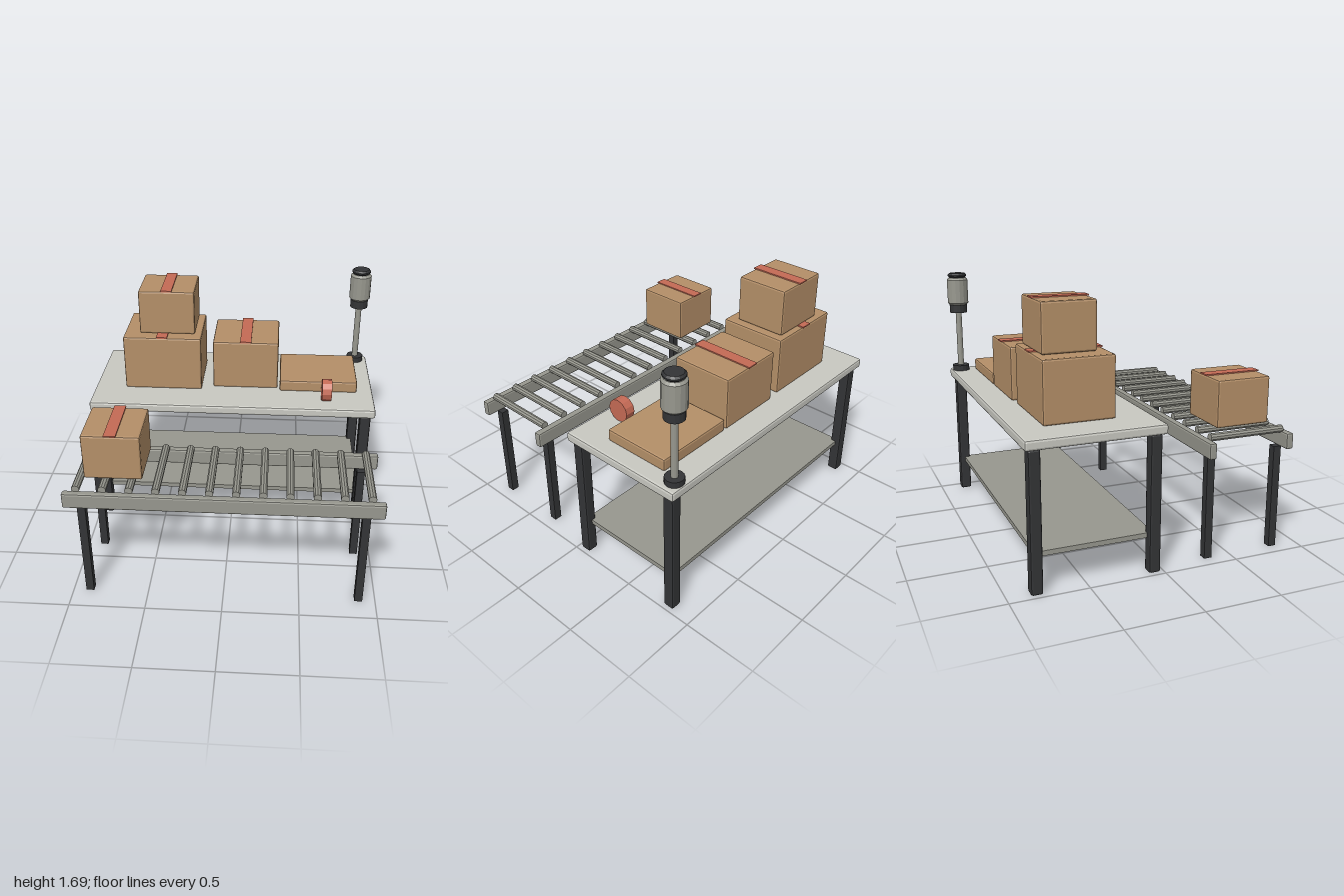
import * as THREE from 'three';
import { RoundedBoxGeometry } from 'three/addons/geometries/RoundedBoxGeometry.js';

const material = (name, color) => {
  const m = new THREE.MeshStandardMaterial({ color });
  m.name = name;
  return m;
};

export function createModel() {
  const model = new THREE.Group();
  model.name = 'packingStation';

  const cardboard = material('cardboard', 0xb48f68);
  const tape = material('packing tape red', 0xc46a55);
  const lightGrey = material('table top grey', 0xc8c8c1);
  const metal = material('metal grey', 0x97978e);
  const dark = material('dark frame', 0x333436);

  const add = (parent, name, geometry, mat, x = 0, y = 0, z = 0) => {
    const mesh = new THREE.Mesh(geometry, mat);
    mesh.name = name;
    mesh.position.set(x, y, z);
    parent.add(mesh);
    return mesh;
  };

  // Box given by its limits on each axis; bevel > 0 softens the edges
  const box = (parent, name, mat, [x0, x1], [y0, y1], [z0, z1], bevel = 0) => {
    const size = [x1 - x0, y1 - y0, z1 - z0];
    const geometry = bevel
      ? new RoundedBoxGeometry(...size, 1, bevel)
      : new THREE.BoxGeometry(...size);
    if (bevel) geometry.computeVertexNormals(); // faceted bevels
    return add(parent, name, geometry, mat, (x0 + x1) / 2, (y0 + y1) / 2, (z0 + z1) / 2);
  };

  // Faceted upright or turned cylinder
  const cylinder = (radius, length, sides) => {
    const geometry = new THREE.CylinderGeometry(radius, radius, length, sides).toNonIndexed();
    geometry.computeVertexNormals();
    return geometry;
  };

  const group = (name) => {
    const g = new THREE.Group();
    g.name = name;
    model.add(g);
    return g;
  };

  // Work table with a lower shelf
  const table = group('workTable');
  box(table, 'tableTop', lightGrey, [-1, 1], [0.895, 0.96], [-0.883, 0], 0.015);
  box(table, 'lowerShelf', metal, [-0.93, 0.93], [0.225, 0.257], [-0.82, -0.06]);
  for (const x of [-0.935, 0.935]) {
    for (const z of [-0.062, -0.819]) {
      box(table, 'tableLeg', dark, [x - 0.038, x + 0.038], [0, 0.895], [z - 0.038, z + 0.038], 0.013);
    }
  }

  // Roller conveyor
  const conveyor = group('conveyor');
  for (const [z, legZ] of [[0.307, 0.34], [0.858, 0.823]]) {
    box(conveyor, 'sideRail', metal, [-1, 1], [0.695, 0.8], [z - 0.025, z + 0.025], 0.012);
    for (const x of [-0.89, 0.89]) {
      box(conveyor, 'conveyorLeg', dark, [x - 0.026, x + 0.026], [0, 0.695], [legZ - 0.026, legZ + 0.026]);
    }
  }
  const rollerGeometry = cylinder(0.026, 0.52, 10).rotateX(Math.PI / 2);
  for (let i = 0; i < 12; i++) {
    add(conveyor, 'roller', rollerGeometry, metal, -0.915 + (i * 1.83) / 11, 0.813, 0.583);
  }

  // Parcels: limits in x, y, z, then the limits of the tape strip in x
  const parcels = [
    ['largeParcel', [-0.778, -0.227], [0.96, 1.355], [-0.703, -0.243], [-0.542, -0.466]],
    ['stackedParcel', [-0.666, -0.275], [1.357, 1.67], [-0.67, -0.318], [-0.507, -0.432]],
    ['middleParcel', [-0.147, 0.318], [0.96, 1.315], [-0.714, -0.291], [0.046, 0.124]],
    ['flatParcel', [0.334, 0.885], [0.96, 1.043], [-0.714, -0.254], null],
    ['conveyorParcel', [-0.874, -0.505], [0.848, 1.155], [0.398, 0.767], [-0.728, -0.652]],
  ];
  for (const [name, x, y, z, strip] of parcels) {
    const parcel = group(name);
    box(parcel, 'carton', cardboard, x, y, z, 0.013);
    if (strip) {
      box(parcel, 'tapeStrip', tape, strip, [y[1] - 0.001, y[1] + 0.008], [z[0] - 0.008, z[1] + 0.006]);
    }
  }

  // Roll of tape standing on its edge
  add(model, 'tapeRoll', cylinder(0.077, 0.068, 12).rotateZ(Math.PI / 2), tape, 0.663, 1.035, -0.15);

  // Signal lamp on a pole
  const lamp = group('signalLamp');
  lamp.position.set(0.908, 0, -0.815);
  const turned = (name, mat, radius, y0, y1, bevel = 0) => {
    const profile = [[0, y0], [radius - bevel, y0]];
    if (bevel) profile.push([radius, y0 + bevel], [radius, y1 - bevel]);
    profile.push([radius - bevel, y1], [0, y1]);
    const points = profile.map(([r, y]) => new THREE.Vector2(r, y));
    const geometry = new THREE.LatheGeometry(points, 16).toNonIndexed();
    geometry.computeVertexNormals();
    add(lamp, name, geometry, mat);
  };
  turned('lampBase', dark, 0.061, 0.96, 1.0);
  turned('lampPole', metal, 0.022, 1.0, 1.405);
  turned('lampCollar', dark, 0.064, 1.4, 1.458);
  turned('lampBody', metal, 0.076, 1.458, 1.657, 0.015);
  turned('lampCap', dark, 0.068, 1.657, 1.69, 0.012);

  return model;
}
